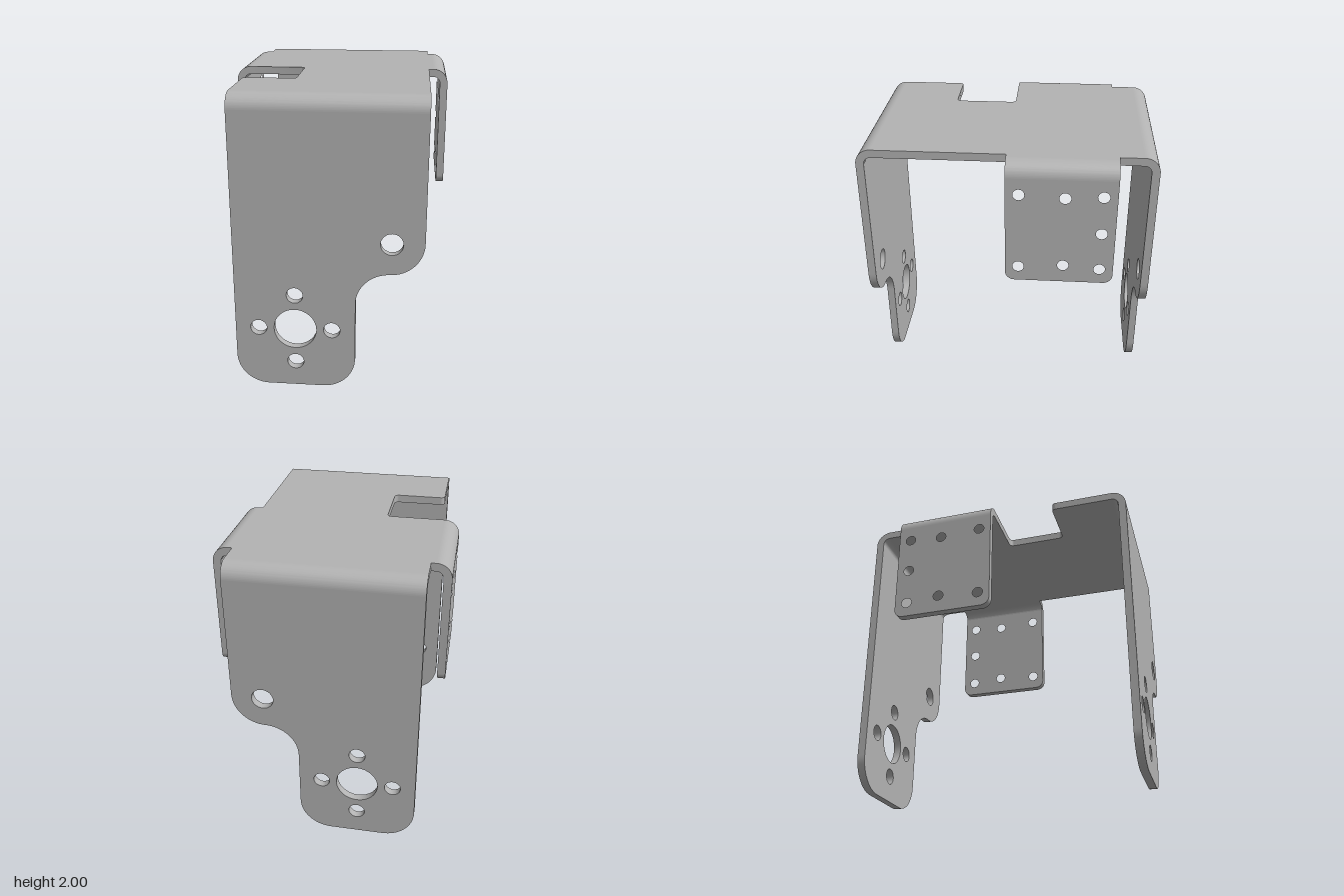
import * as THREE from 'three';
import { toCreasedNormals } from 'three/addons/utils/BufferGeometryUtils.js';

const T = 0.053;          // sheet thickness
const R = 0.1;            // outer bend radius
const W = 0.62;           // half width of the main strip
const EAR = 0.753;        // outer x of the side tabs
const Z = 0.955;          // outer z of the legs
const BEND_Y = 2 - R;

// Outline from right-angled corners [x, y, radius]
function outline(corners) {
  const pts = [];
  const n = corners.length;
  corners.forEach(([x, y, r], i) => {
    const p = new THREE.Vector2(x, y);
    if (!r) { pts.push(p); return; }
    const prev = corners[(i + n - 1) % n], next = corners[(i + 1) % n];
    const a = new THREE.Vector2(prev[0], prev[1]).sub(p).normalize();
    const b = new THREE.Vector2(next[0], next[1]).sub(p).normalize();
    const c = p.clone().addScaledVector(a, r).addScaledVector(b, r);
    const steps = r > 0.1 ? 16 : 8;
    for (let k = 0; k <= steps; k++) {
      const t = (k / steps) * Math.PI / 2;
      pts.push(c.clone().addScaledVector(b, -r * Math.cos(t)).addScaledVector(a, -r * Math.sin(t)));
    }
  });
  return new THREE.Shape(pts);
}

function drill(shape, x, y, r) {
  shape.holes.push(new THREE.Path().absarc(x, y, r, 0, Math.PI * 2, true));
}

function extrude(shape, depth) {
  const g = new THREE.ExtrudeGeometry(shape, { depth, bevelEnabled: false, curveSegments: 16 });
  return toCreasedNormals(g, 0.6);
}

// Quarter ring swept along z
function bendGeometry(length) {
  const s = new THREE.Shape();
  s.absarc(0, 0, R, 0, Math.PI / 2, false);
  s.absarc(0, 0, R - T, Math.PI / 2, 0, true);
  s.closePath();
  return extrude(s, length);
}

export function createModel() {
  const model = new THREE.Group();
  model.name = 'sheetMetalBracket';
  const metal = new THREE.MeshStandardMaterial({ color: 0xb3b3b3 });
  metal.name = 'grey metal';

  const add = (name, geometry, x, y, z, turn = 0) => {
    const m = new THREE.Mesh(geometry, metal);
    m.name = name;
    m.position.set(x, y, z);
    m.rotation.y = turn;
    model.add(m);
  };

  // Top plate with a notch on one side and stubs for the side tabs
  const e = EAR - R, f = Z - R;
  const top = outline([
    [-W, -f, 0], [W, -f, 0], [W, -0.7, 0], [e, -0.7, 0], [e, 0, 0], [W, 0, 0],
    [W, f, 0], [-W, f, 0], [-W, 0.42, 0.03], [-0.26, 0.42, 0.03], [-0.26, 0, 0.03],
    [-e, 0, 0], [-e, -0.7, 0], [-W, -0.7, 0],
  ]);
  add('topPlate', extrude(top, T).rotateX(Math.PI / 2), 0, 2, 0);

  // Front and back legs share one stepped outline
  const leg = outline([
    [-W, BEND_Y, 0], [-W, 0, 0.215], [0.18, 0, 0.215],
    [0.18, 0.845, 0.22], [W, 0.845, 0.22], [W, BEND_Y, 0],
  ]);
  drill(leg, 0.41, 1.055, 0.073);
  drill(leg, -0.22, 0.425, 0.142);
  for (const [dx, dy] of [[1, 0], [-1, 0], [0, 1], [0, -1]]) {
    drill(leg, -0.22 + dx * 0.245, 0.425 + dy * 0.245, 0.055);
  }
  const legGeometry = extrude(leg, T);
  add('frontLeg', legGeometry, 0, 0, Z - T);
  add('backLeg', legGeometry, 0, 0, -Z);

  // Side tabs, drawn in z and y
  const tab = outline([[0, BEND_Y, 0], [0, 1.16, 0.06], [-0.7, 1.16, 0.06], [-0.7, BEND_Y, 0]]);
  const tabHoles = [
    [-0.085, 1.79], [-0.375, 1.775], [-0.612, 1.79], [-0.612, 1.53],
    [-0.612, 1.265], [-0.375, 1.285], [-0.085, 1.265],
  ];
  tabHoles.forEach(([z, y]) => drill(tab, z, y, 0.037));
  const tabGeometry = extrude(tab, T).rotateY(-Math.PI / 2);
  add('leftTab', tabGeometry, EAR, 0, 0);
  add('rightTab', tabGeometry, -EAR + T, 0, 0);

  // Rounded bends joining the top to the legs and tabs
  const legBend = bendGeometry(2 * W), tabBend = bendGeometry(0.7);
  add('frontBend', legBend, W, BEND_Y, f, -Math.PI / 2);
  add('backBend', legBend, -W, BEND_Y, -f, Math.PI / 2);
  add('leftBend', tabBend, e, BEND_Y, -0.7);
  add('rightBend', tabBend, -e, BEND_Y, 0, Math.PI);

  return model;
}
